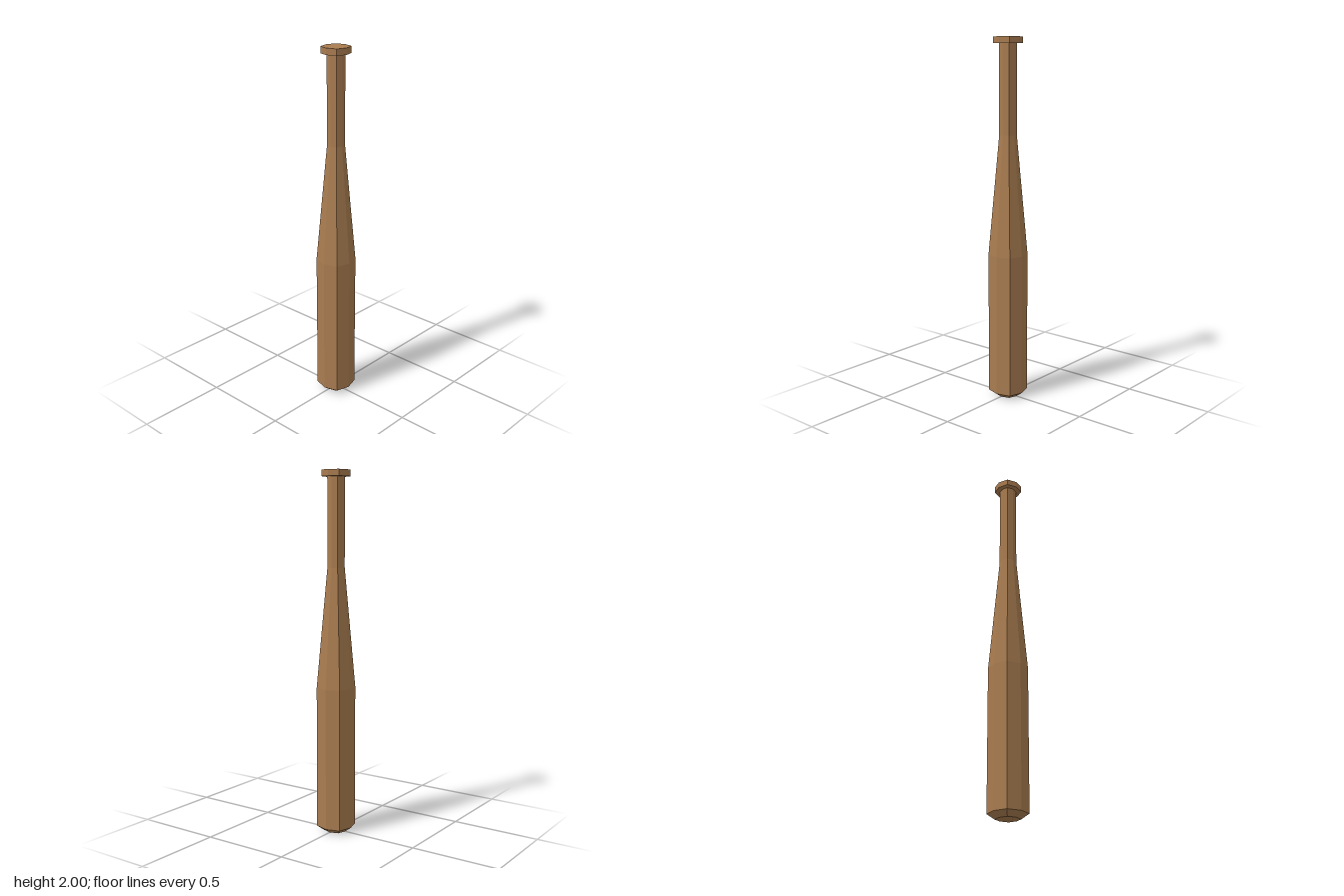
import * as THREE from 'three';

// Eight-sided turned part; corners between the axes sit slightly further out
function octagonalTurning(name, profile, material) {
  const points = profile.map(([r, y]) => new THREE.Vector2(r, y));
  const geometry = new THREE.LatheGeometry(points, 8);
  const pos = geometry.attributes.position;
  for (let i = 0; i < pos.count; i++) {
    const x = pos.getX(i), z = pos.getZ(i);
    if (Math.abs(x) > 1e-4 && Math.abs(z) > 1e-4) {
      pos.setX(i, x * 1.085);
      pos.setZ(i, z * 1.085);
    }
  }
  const mesh = new THREE.Mesh(geometry, material);
  mesh.name = name;
  return mesh;
}

export function createModel() {
  const group = new THREE.Group();
  group.name = 'bat';
  const wood = new THREE.MeshStandardMaterial({ color: 0xa97c50 });
  wood.name = 'wood';
  wood.flatShading = true;

  // Thick barrel with a bevelled end
  group.add(octagonalTurning('barrel', [[0, 0], [0.062, 0], [0.1, 0.028], [0.1, 0.82]], wood));
  // Narrowing middle
  group.add(octagonalTurning('taper', [[0.1, 0.82], [0.044, 1.48]], wood));
  // Straight grip
  group.add(octagonalTurning('handle', [[0.044, 1.48], [0.044, 1.965]], wood));
  // Flat knob on the end of the grip
  group.add(octagonalTurning('knob', [[0.044, 1.965], [0.073, 1.965], [0.073, 2], [0, 2]], wood));
  return group;
}
